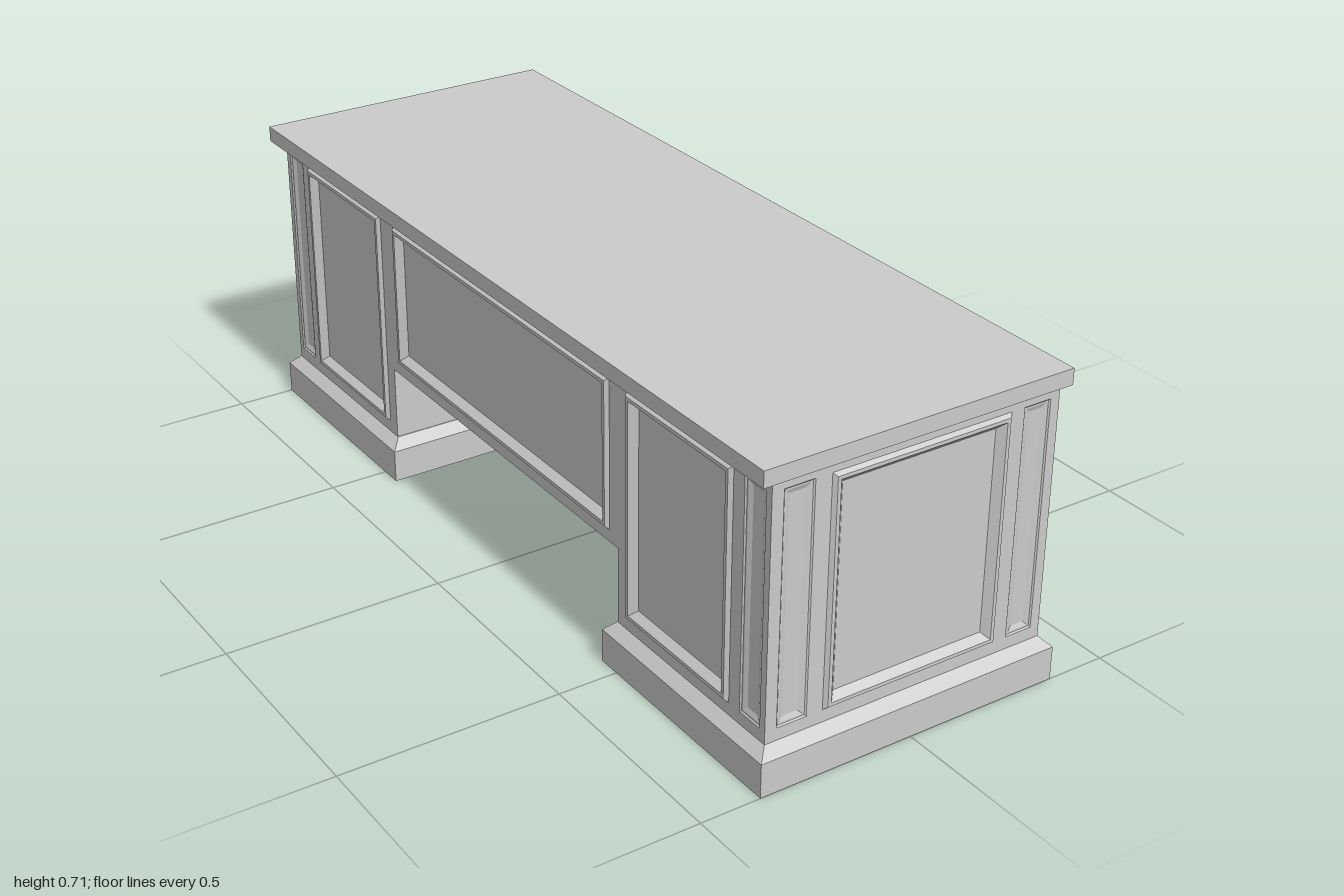
import * as THREE from 'three';

const material = new THREE.MeshStandardMaterial({ color: 0xcccccc, flatShading: true });
const smooth = new THREE.MeshStandardMaterial({ color: 0xcccccc });

// Profiles as [inset from the edge, height above the surface]
const MOULDED = [[0, 0], [0.007, 0.008], [0.015, 0.008], [0.03, -0.008]];
const SUNK = [[0, 0], [0.003, -0.003], [0.007, -0.003], [0.017, -0.007]];
const DRAWER = [[0, 0], [0.004, -0.005], [0.008, -0.005], [0.028, -0.012]];
const PLINTH = [[0, 0], [0, 0.077], [0.023, 0.1]];

function mesh(name, geometry, mat = material) {
  const m = new THREE.Mesh(geometry, mat);
  m.name = name;
  return m;
}

// Box given by its limits
function block(name, x0, x1, y0, y1, z0, z1) {
  const m = mesh(name, new THREE.BoxGeometry(x1 - x0, y1 - y0, z1 - z0));
  m.position.set((x0 + x1) / 2, (y0 + y1) / 2, (z0 + z1) / 2);
  return m;
}

// Rectangle stepped inwards along a profile and closed by a flat field
function steppedPanel(u0, u1, v0, v1, steps) {
  const loops = steps.map(([i, d]) => [
    [u0 + i, v0 + i, d], [u1 - i, v0 + i, d], [u1 - i, v1 - i, d], [u0 + i, v1 - i, d],
  ]);
  const pos = [];
  const quad = (a, b, c, d) => pos.push(...a, ...b, ...c, ...a, ...c, ...d);
  for (let s = 0; s < loops.length - 1; s++) {
    for (let k = 0; k < 4; k++) {
      const n = (k + 1) % 4;
      quad(loops[s][k], loops[s][n], loops[s + 1][n], loops[s + 1][k]);
    }
  }
  quad(...loops[loops.length - 1]);
  const g = new THREE.BufferGeometry();
  g.setAttribute('position', new THREE.Float32BufferAttribute(pos, 3));
  g.computeVertexNormals();
  return g;
}

// Flat wall facing local +z with openings filled by stepped panels;
// sign flips the horizontal coordinates for walls that run the other way
function wall(name, sign, range, v0, v1, panels) {
  const span = (a, b) => (sign > 0 ? [a, b] : [-b, -a]);
  const outline = (a, b, c, d) => [[a, c], [b, c], [b, d], [a, d]].map(p => new THREE.Vector2(...p));
  const [u0, u1] = span(...range);
  const shape = new THREE.Shape(outline(u0, u1, v0, v1));
  const group = new THREE.Group();
  group.name = name;
  for (const p of panels) {
    const [a, b] = span(p.u[0], p.u[1]);
    shape.holes.push(new THREE.Path(outline(a, b, p.v[0], p.v[1])));
    group.add(mesh(p.name, steppedPanel(a, b, p.v[0], p.v[1], p.steps)));
  }
  group.add(mesh(name + 'Frame', new THREE.ShapeGeometry(shape)));
  return group;
}

// Bowed drawer pull running along z
function handle() {
  const g = new THREE.Group();
  g.name = 'drawerHandle';
  const curve = new THREE.CatmullRomCurve3([
    [-0.012, -0.068], [0.006, -0.064], [0.02, -0.042], [0.026, 0],
    [0.02, 0.042], [0.006, 0.064], [-0.012, 0.068],
  ].map(([x, z]) => new THREE.Vector3(x, 0, z)));
  g.add(mesh('handleBow', new THREE.TubeGeometry(curve, 32, 0.0065, 10), smooth));
  for (const s of [-1, 1]) {
    const foot = mesh('handleFoot', new THREE.SphereGeometry(0.01, 12, 8), smooth);
    foot.position.set(-0.008, 0, s * 0.067);
    g.add(foot);
  }
  return g;
}

const BOTTOM = 0.1, TOP = 0.672, X = 0.34, INNER = 0.472, OUTER = 0.977;
const V = [0.128, 0.645];

// Pedestal on the +z (s = 1) or -z (s = -1) end
function pedestal(s) {
  const g = new THREE.Group();
  g.name = s > 0 ? 'frontPedestal' : 'backPedestal';
  const along = (a, b) => (s > 0 ? [a, b] : [-b, -a]);
  const body = along(INNER, OUTER);

  // Plinth with sloped top edge
  const base = mesh('plinth', steppedPanel(-0.363, 0.363, -0.2765, 0.2765, PLINTH));
  base.rotation.x = -Math.PI / 2;
  base.position.z = s * 0.7235;
  const sole = mesh('plinthBottom', new THREE.PlaneGeometry(0.726, 0.553));
  sole.rotation.x = Math.PI / 2;
  sole.position.z = s * 0.7235;
  g.add(base, sole);

  // End wall: large moulded panel between two narrow sunk ones
  const end = wall('endWall', s, [-X, X], BOTTOM, TOP, [
    { name: 'narrowPanel', u: [-0.313, -0.243], v: V, steps: SUNK },
    { name: 'endPanel', u: [-0.205, 0.22], v: V, steps: MOULDED },
    { name: 'narrowPanel', u: [0.253, 0.318], v: V, steps: SUNK },
  ]);
  end.position.z = s * OUTER;
  end.rotation.y = s > 0 ? 0 : Math.PI;

  // Plain wall facing the knee space
  const knee = wall('kneeWall', -s, [-X, X], BOTTOM, TOP, []);
  knee.position.z = s * INNER;
  knee.rotation.y = s > 0 ? Math.PI : 0;

  // Rear wall on the -x side
  const rear = wall('rearWall', 1, body, BOTTOM, TOP, [
    { name: 'rearPanel', u: along(0.505, 0.86), v: V, steps: MOULDED },
    { name: 'narrowPanel', u: along(0.895, 0.96), v: V, steps: SUNK },
  ]);
  rear.position.x = -X;
  rear.rotation.y = -Math.PI / 2;

  // Drawer wall on the +x side
  const heights = [0.197, 0.387, 0.577];
  const drawers = wall('drawerWall', -1, body, BOTTOM, TOP, heights.map(y => (
    { name: 'drawerFront', u: along(0.487, 0.922), v: [y - 0.084, y + 0.08], steps: DRAWER })));
  drawers.position.x = X;
  drawers.rotation.y = Math.PI / 2;
  g.add(end, knee, rear, drawers);

  for (const y of heights) {
    const h = handle();
    h.position.set(X, y, s * 0.708);
    g.add(h);
  }
  return g;
}

export function createModel() {
  const desk = new THREE.Group();
  desk.name = 'pedestalDesk';
  desk.add(block('desktop', -0.373, 0.355, TOP, 0.708, -0.995, 0.995));
  desk.add(pedestal(1), pedestal(-1));

  // Panelled board closing the rear of the knee space
  const board = wall('modestyWall', 1, [-INNER, INNER], 0.275, TOP, [
    { name: 'modestyPanel', u: [-0.442, 0.442], v: [0.303, 0.645], steps: MOULDED },
  ]);
  board.position.x = -X;
  board.rotation.y = -Math.PI / 2;
  desk.add(board);
  desk.add(block('modestyBoard', -0.33, -0.295, 0.275, TOP, -INNER, INNER));
  desk.add(block('modestyRail', -0.339, -0.33, 0.275, 0.3, -INNER, INNER));
  return desk;
}
